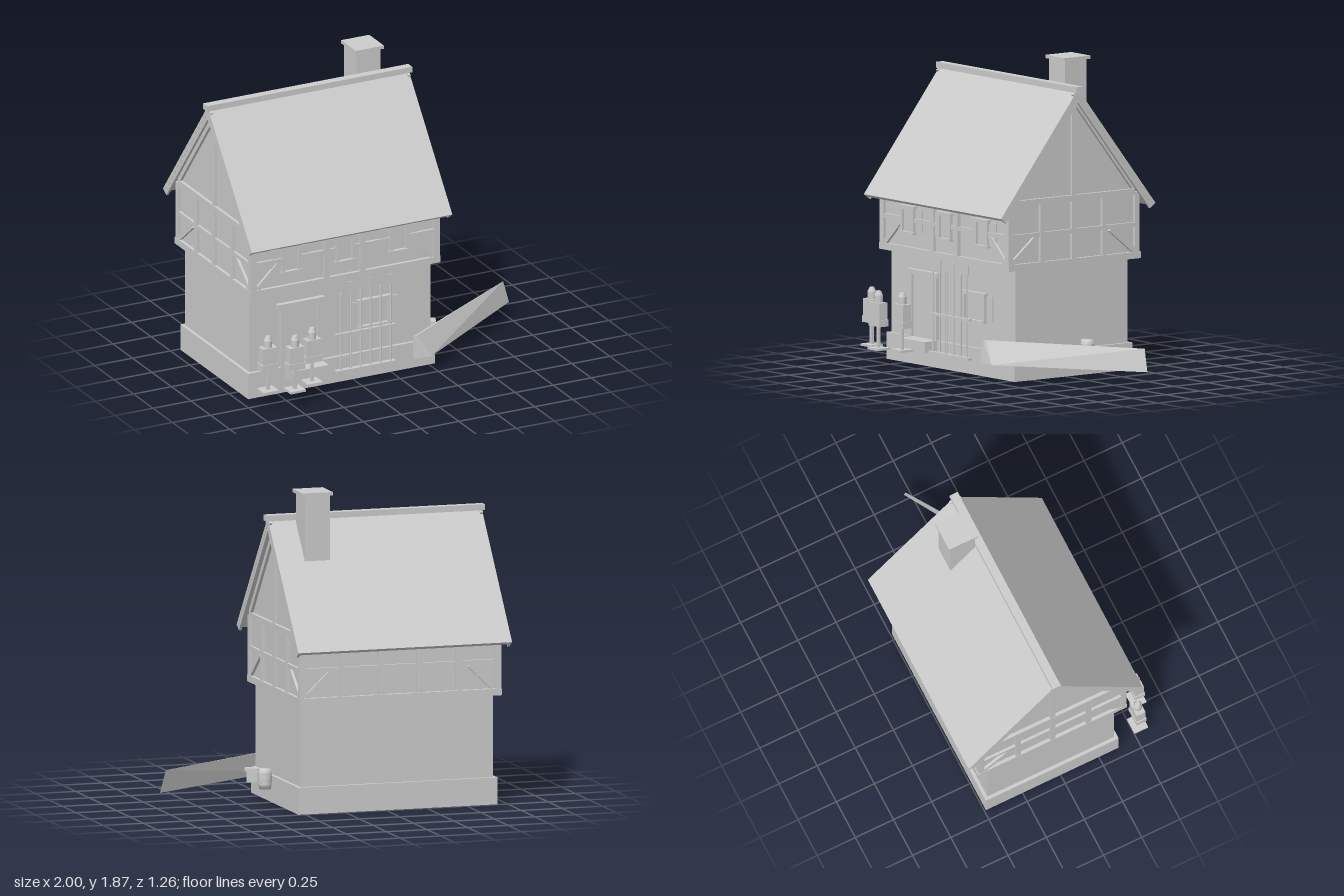
import * as THREE from 'three';
import { ConvexGeometry } from 'three/addons/geometries/ConvexGeometry.js';

const V = (x, y, z) => new THREE.Vector3(x, y, z);
const X = V(1, 0, 0), Z = V(0, 0, 1);

export function createModel() {
  const model = new THREE.Group();
  const grey = new THREE.MeshStandardMaterial({ color: 0xcccccc });
  grey.name = 'plain grey';

  const add = (name, geo, parent = model) => {
    const m = new THREE.Mesh(geo, grey);
    m.name = name;
    parent.add(m);
    return m;
  };
  // Box from its min and max corners
  const box = (name, x0, x1, y0, y1, z0, z1, parent) => {
    const g = new THREE.BoxGeometry(x1 - x0, y1 - y0, z1 - z0);
    g.translate((x0 + x1) / 2, (y0 + y1) / 2, (z0 + z1) / 2);
    return add(name, g, parent);
  };
  // Bar from a to b, of given width, with thickness along normal n
  const bar = (name, a, b, width, n, thick, parent) => {
    const u = b.clone().sub(a), len = u.length();
    u.normalize();
    const g = new THREE.BoxGeometry(len, width, thick);
    g.applyMatrix4(new THREE.Matrix4().makeBasis(u, n.clone().cross(u), n));
    const c = a.clone().add(b).multiplyScalar(0.5);
    g.translate(c.x, c.y, c.z);
    return add(name, g, parent);
  };
  const group = (name) => {
    const g = new THREE.Group();
    g.name = name;
    model.add(g);
    return g;
  };

  // Masonry and upper storey
  box('plinth', -0.94, 0.29, 0, 0.16, -0.49, 0.38);
  box('groundFloor', -0.92, 0.27, 0.16, 0.66, -0.47, 0.36);
  const mid = -0.055;
  const profile = new THREE.Shape([[-0.52, 0.66], [0.41, 0.66], [0.41, 1.05], [mid, 1.64], [-0.52, 1.05]]
    .map(([z, y]) => new THREE.Vector2(z, y)));
  const upper = new THREE.ExtrudeGeometry(profile, { depth: 1.21, bevelEnabled: false });
  upper.rotateY(-Math.PI / 2).translate(0.28, 0, 0);
  add('upperFloor', upper);
  box('jettySill', -0.95, 0.3, 0.655, 0.695, -0.545, 0.43);

  // Timber frame, front and back
  const timber = group('timberFrame');
  for (const [z, posts, rails] of [
    [0.415, [-0.925, -0.445, -0.21, 0.275], [[-0.92, -0.74], [-0.62, -0.385], [-0.265, -0.03], [0.09, 0.28]]],
    [-0.525, [-0.925, -0.685, -0.445, -0.205, 0.035, 0.275], [[-0.92, 0.28]]],
  ]) {
    posts.forEach((x) => box('post', x - 0.018, x + 0.018, 0.69, 1.04, z - 0.015, z + 0.015, timber));
    rails.forEach(([a, b]) => box('midRail', a, b, 0.845, 0.87, z - 0.012, z + 0.012, timber));
    box('topBeam', -0.94, 0.29, 1.01, 1.04, z - 0.014, z + 0.014, timber);
    for (const s of [-1, 1]) {
      const at = (d, y) => V(-0.325 + s * (0.595 - d), y, z);
      bar('brace', at(0.02, 0.7), at(0.17, 0.845), 0.03, Z, 0.022, timber);
    }
  }
  // Timber frame, both gables
  for (const x of [-0.935, 0.285]) {
    [0.41, 0.18, mid, -0.28, -0.52].forEach((z) =>
      box('post', x - 0.013, x + 0.013, 0.69, 1.05, z - 0.017, z + 0.017, timber));
    box('midRail', x - 0.011, x + 0.011, 0.845, 0.87, -0.52, 0.41, timber);
    box('tieBeam', x - 0.015, x + 0.015, 1.035, 1.07, -0.5, 0.39, timber);
    box('kingPost', x - 0.013, x + 0.013, 1.07, 1.63, mid - 0.016, mid + 0.016, timber);
    for (const s of [-1, 1]) {
      const at = (d, y) => V(x, y, mid + s * d);
      bar('brace', at(0.45, 0.7), at(0.27, 0.845), 0.03, X, 0.022, timber);
      bar('gableRafter', at(0.015, 1.62), at(0.45, 1.07), 0.035, X, 0.024, timber);
    }
  }

  // Roof: two slabs, barge boards and ridge
  const roof = group('roof');
  for (const s of [-1, 1]) {
    // line of the slope, shifted inwards by d
    const slope = (x, d) => [V(x, 1.7 - 0.62 * d, mid - s * 0.784 * d), V(x, 0.98 - 0.62 * d, mid + s * (0.57 - 0.784 * d))];
    bar('roofSlab', ...slope(-0.325, 0.0125), 0.025, X, 1.32, roof);
    for (const x of [-0.976, 0.326]) bar('bargeBoard', ...slope(x, 0.025), 0.049, X, 0.016, roof);
  }
  box('ridgeBeam', -1, 0.35, 1.68, 1.715, mid - 0.026, mid + 0.026, roof);
  box('chimney', 0.013, 0.168, 1.3, 1.845, -0.245, -0.085);
  box('chimneyCap', 0, 0.185, 1.845, 1.865, -0.26, -0.07);

  // Windows with frame, sill and flat shutters
  const makeWindow = (cx, y0, y1, w, z, shutterW) => {
    const g = group('window');
    const h = w / 2;
    for (const s of [-1, 1]) {
      box('jamb', cx + s * (h - 0.01) - 0.01, cx + s * (h - 0.01) + 0.01, y0, y1, z, z + 0.024, g);
      const a = cx + s * h, b = cx + s * shutterW / 2;
      box('shutter', Math.min(a, b), Math.max(a, b), y0 + 0.015, y1 - 0.015, z, z + 0.006, g);
    }
    box('lintel', cx - h - 0.008, cx + h + 0.008, y1 - 0.022, y1, z, z + 0.028, g);
    box('sill', cx - h - 0.005, cx + h + 0.005, y0, y0 + 0.014, z, z + 0.03, g);
    box('pane', cx - h + 0.01, cx + h - 0.01, y0, y1, z, z + 0.008, g);
  };
  for (const x of [-0.68, -0.325, 0.03]) makeWindow(x, 0.772, 0.94, 0.125, 0.41, 0.257);
  makeWindow(-0.105, 0.312, 0.49, 0.21, 0.36, 0.33);

  // Door and step
  const door = group('door');
  box('doorLeaf', -0.71, -0.48, 0.16, 0.53, 0.36, 0.367, door);
  for (const x of [-0.725, -0.485]) box('doorJamb', x, x + 0.025, 0.16, 0.53, 0.36, 0.383, door);
  box('doorLintel', -0.75, -0.44, 0.53, 0.56, 0.36, 0.39, door);
  box('doorStep', -0.7, -0.455, 0.095, 0.16, 0.36, 0.47, door);

  // Rack of tall poles, every second one with a flat blade
  const rack = group('poleRack');
  box('rackRail', -0.41, -0.02, 0.33, 0.345, 0.461, 0.479, rack);
  box('rackFoot', -0.41, -0.02, 0.1, 0.115, 0.455, 0.485, rack);
  for (let i = 0; i < 6; i++) {
    const x = -0.377 + i * 0.0655;
    const pole = new THREE.CylinderGeometry(0.006, 0.006, 0.5, 8);
    add('pole', pole.translate(x, 0.35, 0.47), rack);
    if (i % 2) box('blade', x - 0.012, x + 0.012, 0.6, 0.66, 0.467, 0.473, rack);
  }

  // Three padded practice figures on stands
  [[-0.887, 0.53], [-0.742, 0.592], [-0.597, 0.53]].forEach(([x, z]) => {
    const g = group('practiceFigure');
    box('foot', -0.05, 0.05, 0.095, 0.108, -0.045, 0.045, g);
    box('stand', -0.009, 0.009, 0.108, 0.24, -0.009, 0.009, g);
    box('torso', -0.047, 0.047, 0.27, 0.375, -0.029, 0.029, g);
    box('skirt', -0.054, 0.054, 0.235, 0.275, -0.033, 0.033, g);
    add('head', new THREE.CylinderGeometry(0.025, 0.025, 0.045, 10).translate(0, 0.397, 0), g);
    add('cap', new THREE.CylinderGeometry(0.014, 0.026, 0.026, 10).translate(0, 0.431, 0), g);
    g.position.set(x, 0, z);
  });

  // Long tapered ramp wall
  add('rampWall', new ConvexGeometry([
    V(0.095, 0.1, 0.485), V(0.21, 0.1, 0.49), V(1, 0.1, -0.055),
    V(0.1, 0.235, 0.465), V(0.13, 0.235, 0.46), V(0.965, 0.235, -0.062),
  ]));

  // Barrel with bulging sides and hoops
  const barrel = group('barrel');
  add('staves', new THREE.LatheGeometry(
    [[0, 0], [0.035, 0], [0.039, 0.035], [0.041, 0.06], [0.039, 0.085], [0.035, 0.12], [0, 0.12]]
      .map(([r, y]) => new THREE.Vector2(r, y)), 16), barrel);
  for (const y of [0.03, 0.09]) {
    const hoop = new THREE.CylinderGeometry(0.041, 0.041, 0.01, 16);
    add('hoop', hoop.translate(0, y, 0), barrel);
  }
  barrel.position.set(0.365, 0.1, -0.098);

  // Small turned stool
  const stool = group('stool');
  box('seat', -0.03, 0.03, 0.068, 0.084, -0.042, 0.042, stool);
  box('block', -0.02, 0.02, 0, 0.068, -0.03, 0.03, stool);
  stool.position.set(0.36, 0.1, 0.16);
  stool.rotation.y = 1.2;

  return model;
}
